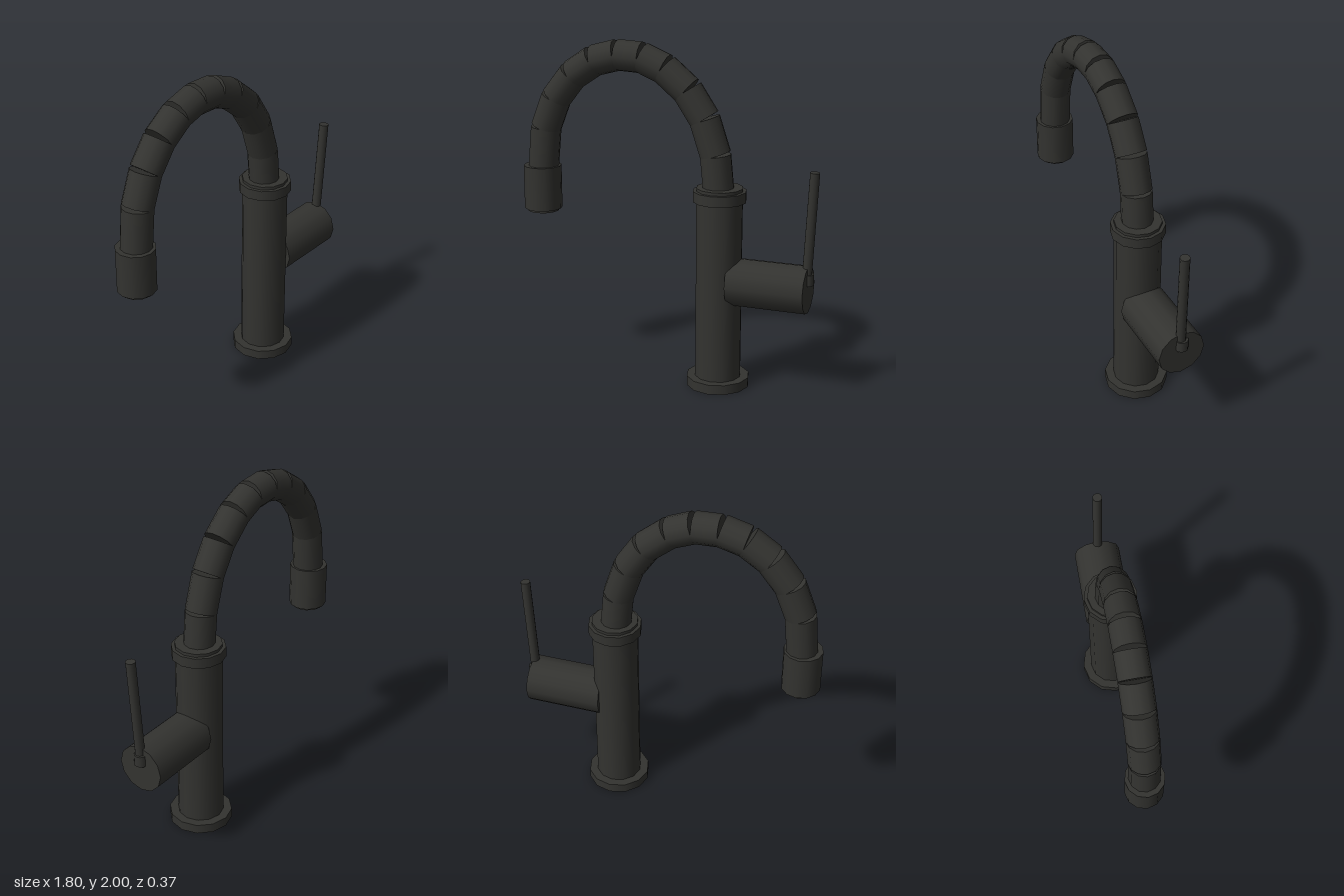
import * as THREE from 'three';

const SIDES = 12;
const metal = new THREE.MeshStandardMaterial({ color: 0x333330 });

// Capped cylinder running from point a to point b
function rod(name, a, b, radius) {
  const start = new THREE.Vector3(...a);
  const end = new THREE.Vector3(...b);
  const dir = end.clone().sub(start);
  const mesh = new THREE.Mesh(new THREE.CylinderGeometry(radius, radius, dir.length(), SIDES), metal);
  mesh.name = name;
  mesh.position.copy(start).add(end).multiplyScalar(0.5);
  mesh.quaternion.setFromUnitVectors(new THREE.Vector3(0, 1, 0), dir.normalize());
  return mesh;
}

// Upright cylinder at x, between two heights
const upright = (name, x, y0, y1, radius) => rod(name, [x, y0, 0], [x, y1, 0], radius);

export function createModel() {
  const faucet = new THREE.Group();
  faucet.name = 'faucet';

  // Column with foot and collar
  const columnX = 0.315;
  faucet.add(
    upright('baseFlange', columnX, 0, 0.057, 0.185),
    upright('column', columnX, 0.05, 1.19, 0.135),
    upright('collar', columnX, 1.11, 1.172, 0.155)
  );

  // Gooseneck of straight segments that open up on the outside of the bend
  const neck = new THREE.Group();
  neck.name = 'gooseneck';
  const joints = [
    [0.308, 1.17], [0.288, 1.375], [0.222, 1.575], [0.12, 1.73], [-0.018, 1.845], [-0.155, 1.902],
    [-0.302, 1.909], [-0.446, 1.87], [-0.58, 1.78], [-0.69, 1.64], [-0.76, 1.46], [-0.782, 1.22]
  ];
  for (let i = 0; i < joints.length - 1; i++) {
    neck.add(rod('neckSegment', [...joints[i], 0], [...joints[i + 1], 0], 0.09));
  }
  faucet.add(neck);

  // Spray head and outlet
  faucet.add(
    upright('sprayHead', -0.79, 0.97, 1.23, 0.112),
    upright('outlet', -0.79, 0.955, 0.98, 0.095)
  );

  // Side valve with lever
  faucet.add(
    rod('valveBarrel', [0.39, 0.64, 0], [0.845, 0.64, 0], 0.14),
    upright('leverSocket', 0.838, 0.67, 0.735, 0.038),
    rod('lever', [0.835, 0.7, 0.004], [0.868, 1.326, 0.018], 0.028)
  );

  return faucet;
}
